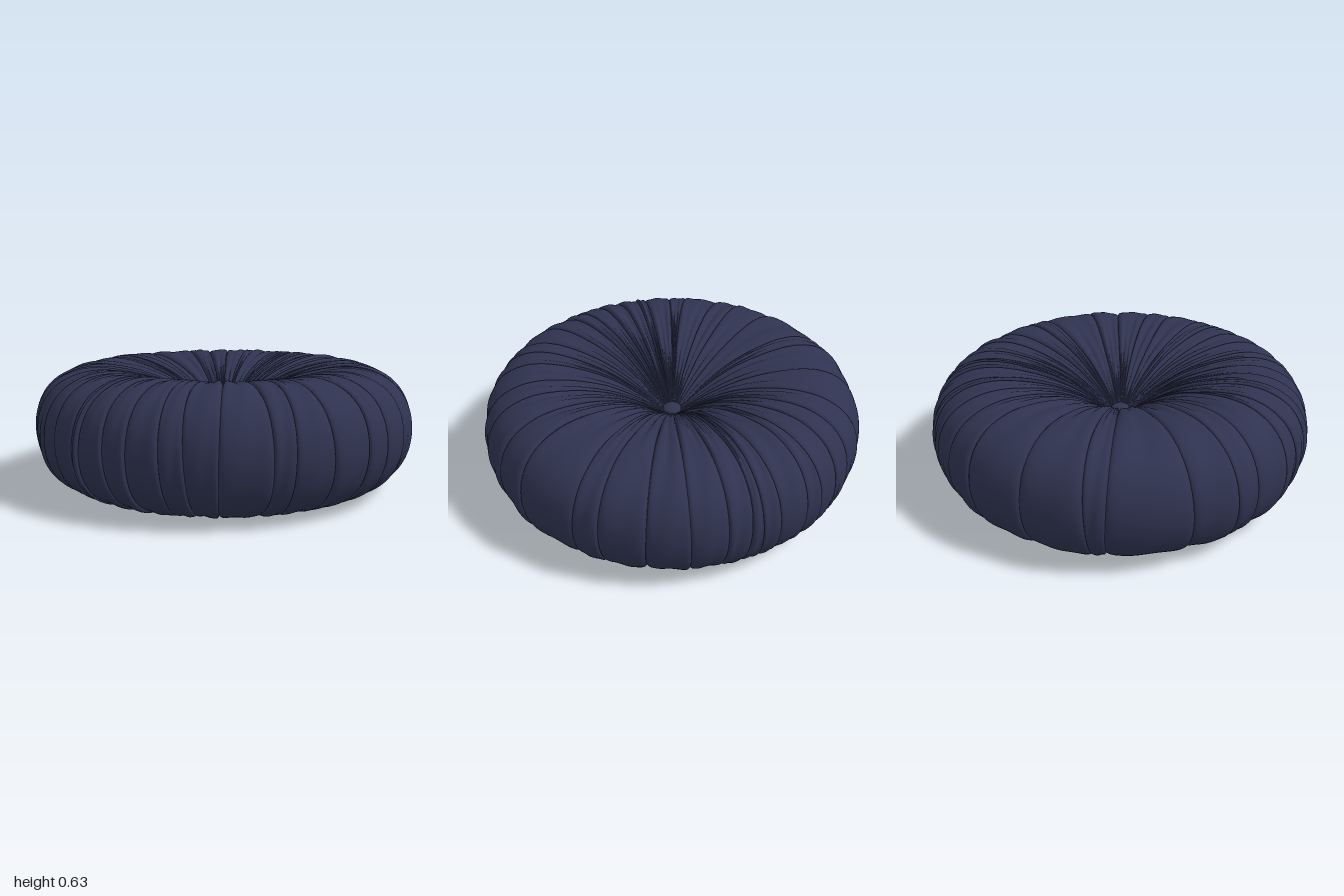
import * as THREE from 'three';

// Angles (degrees, anticlockwise seen from above, from +x) of the gathered seams
const SEAMS = [-2, 5, 10, 15, 25, 30, 38, 46, 58, 75, 95, 101, 123, 137, 146, 159, 165, 174, 178,
  187, 195, 204, 210, 220, 232, 240, 250, 262, 273, 284, 298, 316, 325, 336, 348];
// Samples across one panel, crowded towards the seams
const ACROSS = [0, 0.02, 0.05, 0.1, 0.17, 0.25, 0.33, 0.41, 0.5, 0.59, 0.67, 0.75, 0.83, 0.9, 0.95, 0.98, 1];
const ROWS = 84;
const MID = 0.32;

// Repeatable value in 0..1 for each pleat
const rand = (n) => {
  const s = Math.sin(n * 127.1 + 11.7) * 43758.5453;
  return s - Math.floor(s);
};

// Cross-section from the top dimple round the side to the bottom dimple
function crossSection() {
  const half = [[0.02, 0.03], [0.08, 0.072], [0.17, 0.137], [0.32, 0.222], [0.5, 0.282],
    [0.68, 0.304], [0.8, 0.281], [0.9, 0.219], [0.96, 0.127]];
  const lower = half.map(([r, y]) => [r, -y]).reverse();
  const points = [...half, [0.983, 0], ...lower].map(([r, y]) => new THREE.Vector3(r, y, 0));
  return new THREE.CatmullRomCurve3(points);
}

function cushionGeometry() {
  const curve = crossSection();
  const section = [];
  for (let j = 0; j <= ROWS; j++) {
    const p = curve.getPointAt(j / ROWS);
    const t = curve.getTangentAt(j / ROWS);
    section.push({ r: p.x, y: p.y, nr: -t.y, ny: t.x });
  }

  // Each seam wanders a little along its length
  const seamAngle = (k, v) => {
    const n = SEAMS.length;
    const i = k % n;
    const turn = k >= n ? 360 : 0;
    const drift = 1.2 * Math.sin(v * (4 + 4 * rand(i)) + 6.28 * rand(i + 50));
    return THREE.MathUtils.degToRad(SEAMS[i] + turn + drift);
  };

  const position = [];
  const index = [];
  SEAMS.forEach((_, k) => {
    const tilt = (rand(k + 100) - 0.35) * 0.026;
    const folds = 2 + Math.floor(rand(k + 200) * 2);
    const phase = 6.28 * rand(k + 300);
    for (const t of ACROSS) {
      section.forEach((s, j) => {
        const v = j / ROWS;
        const a0 = seamAngle(k, v);
        const a1 = seamAngle(k + 1, v);
        const a = a0 + (a1 - a0) * t;
        const size = Math.min(1, s.r / 0.35);
        // Flat panel with tucked edges, overlapping step, and creases that fade outwards
        const tuck = 0.006 - 0.014 * Math.pow(Math.abs(2 * t - 1), 12);
        const step = tilt * (t - 0.5);
        const inner = Math.max(0, 1 - s.r / 0.85);
        const crease = -0.02 * inner * Math.pow(Math.cos(Math.PI * folds * t), 6);
        const wrinkle = 0.004 * Math.sin(Math.PI * t) * Math.sin(v * 19 + t * 7 + phase);
        const h = size * (tuck + step + crease + wrinkle);
        const r = s.r + s.nr * h;
        position.push(r * Math.cos(a), MID + s.y + s.ny * h, -r * Math.sin(a));
      });
    }
  });

  const columns = SEAMS.length * ACROSS.length;
  const stride = ROWS + 1;
  for (let i = 0; i < columns; i++) {
    const next = (i + 1) % columns;
    for (let j = 0; j < ROWS; j++) {
      const a = i * stride + j;
      const b = next * stride + j;
      index.push(a, a + 1, b, a + 1, b + 1, b);
    }
  }

  const geometry = new THREE.BufferGeometry();
  geometry.setAttribute('position', new THREE.Float32BufferAttribute(position, 3));
  geometry.setIndex(index);
  geometry.computeVertexNormals();
  return geometry;
}

export function createModel() {
  const group = new THREE.Group();
  group.name = 'roundCushion';
  const fabric = new THREE.MeshStandardMaterial({ color: 0x2f3350 });

  const cushion = new THREE.Mesh(cushionGeometry(), fabric);
  cushion.name = 'pleatedCushion';
  group.add(cushion);

  // Covered buttons pulled into the top and bottom dimples
  for (const side of [1, -1]) {
    const button = new THREE.Mesh(new THREE.SphereGeometry(0.05, 32, 16), fabric);
    button.name = side > 0 ? 'topButton' : 'bottomButton';
    button.scale.y = 0.5;
    button.position.y = MID + side * 0.055;
    group.add(button);
  }
  return group;
}
